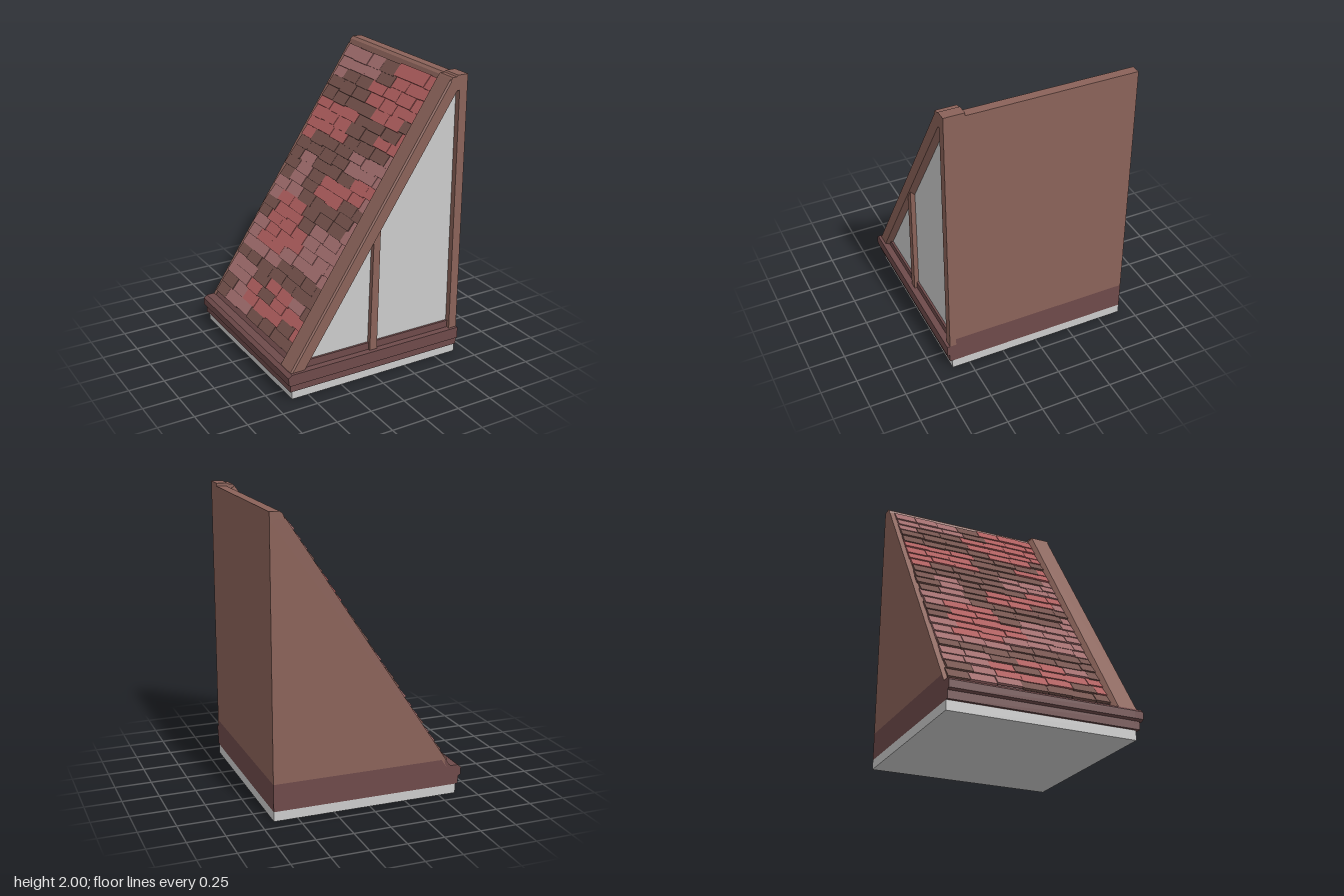
import * as THREE from 'three';

const mat = (color) => new THREE.MeshStandardMaterial({ color, flatShading: true });
const GREY = mat(0xcccccc), WOOD = mat(0x8a6259), DARK = mat(0x6e4a4a);
const TILES = { b: mat(0x73514b), m: mat(0xa06c6c), r: mat(0xad5d5d) };

const SLOPE = Math.atan(1.526);

// One string per column of tiles, back to front; letters run from eave to ridge
const TILE_COLUMNS = [
  'bbmmbmmmbbmmbbbbrrrrbbmmm',
  'mmmmbmrrrrrmmmmbbrrrbbbmm',
  'mrrbbmrrrrrbbbbbbrrrbbbmm',
  'brbrbbmrrbbbrrbbbbbbbrrbb',
  'brrrbbmmmmbbrrbmmbbbrrrrr',
  'bbrmbbmmmmbbbrrmmbrbrrrrr',
  'brrbbbmmmmmmbmrmmmrrbrrrr',
];

function seeded(seed) {
  return () => {
    seed = (seed * 16807) % 2147483647;
    return seed / 2147483647;
  };
}

const outline = (points) => new THREE.Shape(points.map(([x, y]) => new THREE.Vector2(x, y)));

export function createModel() {
  const model = new THREE.Group();
  model.name = 'roofEnd';

  const add = (parent, name, geometry, material) => {
    const mesh = new THREE.Mesh(geometry, material);
    mesh.name = name;
    parent.add(mesh);
    return mesh;
  };

  // Front outline extruded from z0 to z1
  const slab = (name, points, z0, z1, material) => {
    const g = new THREE.ExtrudeGeometry(outline(points), { depth: z1 - z0, bevelEnabled: false });
    add(model, name, g.translate(0, 0, z0), material);
  };

  // Box given by its limits
  const block = (parent, name, [x0, x1], [y0, y1], [z0, z1], material) => {
    const g = new THREE.BoxGeometry(x1 - x0, y1 - y0, z1 - z0);
    return add(parent, name, g.translate((x0 + x1) / 2, (y0 + y1) / 2, (z0 + z1) / 2), material);
  };

  // Foundation and dark sill band
  block(model, 'foundation', [-0.62, 0.66], [0, 0.065], [-0.66, 0.625], GREY);
  slab('sillBand', [[-0.62, 0.065], [0.66, 0.065], [0.66, 0.25], [-0.542, 0.25], [-0.575, 0.2], [-0.62, 0.2]],
    -0.66, 0.615, DARK);

  // Wedge-shaped body with its plaster front
  slab('body', [[-0.542, 0.25], [0.66, 0.25], [0.66, 1.93], [0.56, 1.93]], -0.66, 0.595, WOOD);
  slab('plasterPanel', [[-0.53, 0.25], [0.62, 0.25], [0.62, 1.93], [0.57, 1.93]], 0.595, 0.6, GREY);

  // Eave moulding along the left edge
  slab('eaveMoulding', [[-0.64, 0.066], [-0.57, 0.066], [-0.57, 0.2], [-0.635, 0.2], [-0.66, 0.18], [-0.66, 0.13],
    [-0.64, 0.12]], -0.66, 0.64, DARK);

  // Front moulding in two steps
  block(model, 'frontMouldingLower', [-0.64, 0.66], [0.066, 0.12], [0.6, 0.643], DARK);
  slab('frontMouldingUpper', [[-0.64, 0.12], [0.66, 0.12], [0.66, 0.2], [-0.635, 0.2], [-0.66, 0.18], [-0.66, 0.13]],
    0.6, 0.66, DARK);

  // Front timbers
  block(model, 'cornerPost', [0.6, 0.66], [0.2, 1.93], [0.595, 0.64], WOOD);
  slab('middlePost', [[-0.035, 0.2], [0.02, 0.2], [0.035, 1.09], [-0.015, 1.04]], 0.595, 0.632, WOOD);

  // Ridge beam and the cap at its front end
  slab('ridgeBeam', [[0.555, 1.91], [0.66, 1.91], [0.66, 1.98], [0.595, 1.98], [0.575, 1.965]], -0.66, 0.52, WOOD);
  slab('ridgeCap', [[0.57, 1.9], [0.66, 1.9], [0.66, 2], [0.585, 2], [0.575, 1.99], [0.545, 1.99], [0.53, 1.97]],
    0.5, 0.64, WOOD);

  // Sloping roof frame: x runs up the slope, y points out of it
  const roof = new THREE.Group();
  roof.name = 'roof';
  roof.position.set(-0.645, 0.18, 0);
  roof.rotation.z = SLOPE;
  model.add(roof);

  // Chamfered barge board, section drawn as (-z, y)
  const section = [[-0.63, 0], [-0.64, -0.01], [-0.64, -0.084], [-0.605, -0.105], [-0.48, -0.105], [-0.48, -0.03],
    [-0.5, 0]];
  const barge = new THREE.ExtrudeGeometry(outline(section), { depth: 2.15, bevelEnabled: false });
  add(roof, 'bargeBoard', barge.rotateY(Math.PI / 2), WOOD);

  // Roof edge strip at the back
  block(roof, 'backEdge', [0.05, 2.13], [-0.07, -0.044], [-0.66, -0.625], WOOD);

  // Staggered tiles, each tilted to overlap the row below
  const random = seeded(71);
  const rows = TILE_COLUMNS[0].length, pitch = 2.02 / rows, width = 0.172;
  for (let row = 0; row < rows; row++) {
    const shift = (row % 2) * 0.03 - 0.015;
    const edges = TILE_COLUMNS.map((_, c) => (c === 0 ? -0.63 + random() * 0.015
      : -0.635 + c * width + shift + (random() - 0.5) * 0.02));
    edges.push(0.485);
    TILE_COLUMNS.forEach((column, c) => {
      const z0 = edges[c], z1 = Math.max(edges[c + 1] - 0.002, z0 + 0.03);
      const tile = add(roof, 'tile', new THREE.BoxGeometry(pitch * 1.2, 0.016, z1 - z0), TILES[column[row]]);
      tile.position.set(0.1 + (row + 0.5) * pitch + (random() - 0.5) * 0.016,
        -0.043 + random() * 0.006, (z0 + z1) / 2);
      tile.rotation.z = -0.1;
    });
  }

  return model;
}
